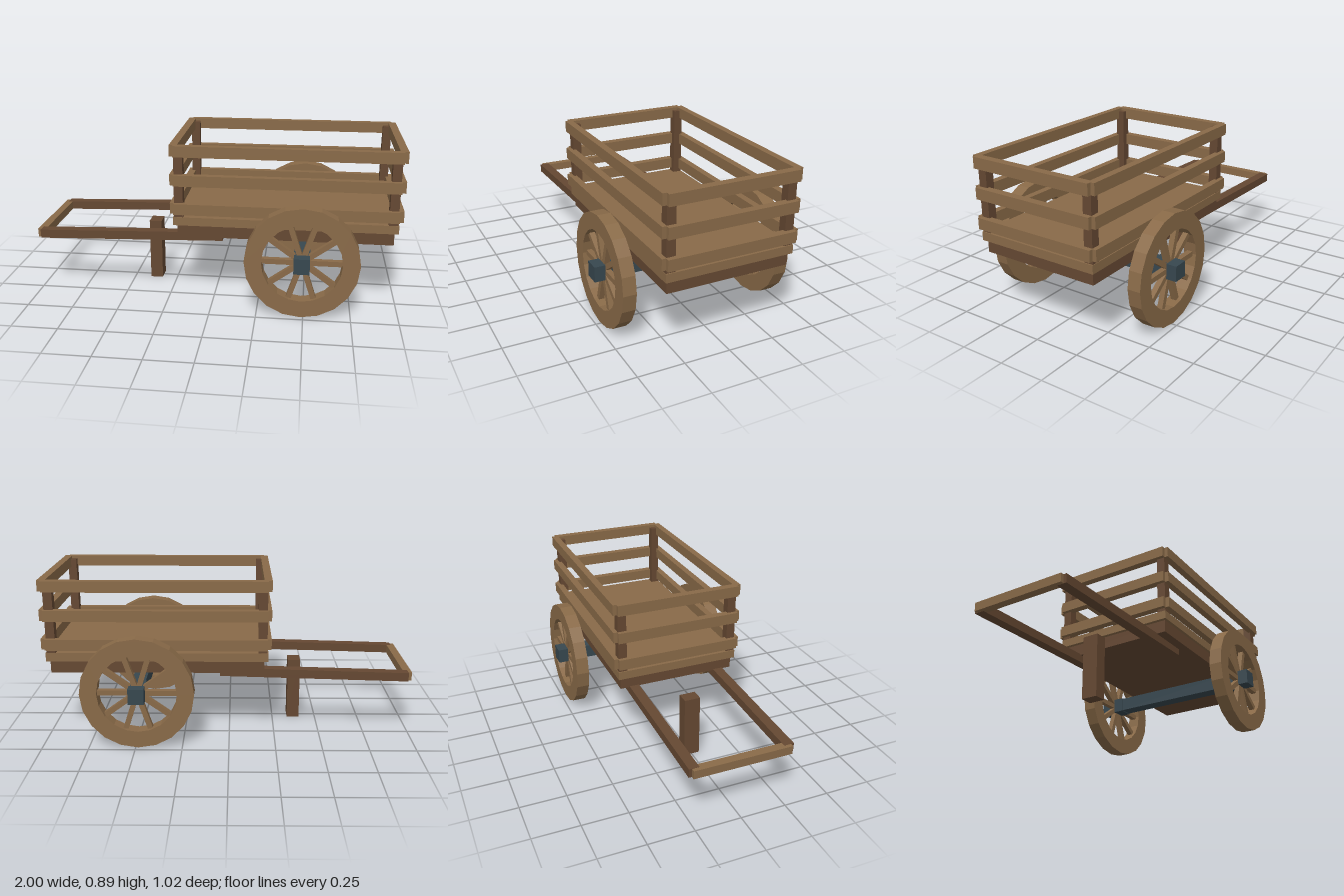
import * as THREE from 'three';

export function createModel() {
  const mat = (name, color) => {
    const m = new THREE.MeshStandardMaterial({ color });
    m.name = name;
    return m;
  };
  const lightWood = mat('lightWood', 0x896a48);
  const darkWood = mat('darkWood', 0x654832);
  const iron = mat('iron', 0x37474f);

  const cart = new THREE.Group();
  cart.name = 'handCart';

  // Box given by its extents on each axis
  const box = (parent, name, material, [x0, x1], [y0, y1], [z0, z1]) => {
    const mesh = new THREE.Mesh(new THREE.BoxGeometry(x1 - x0, y1 - y0, z1 - z0), material);
    mesh.position.set((x0 + x1) / 2, (y0 + y1) / 2, (z0 + z1) / 2);
    mesh.name = name;
    parent.add(mesh);
    return mesh;
  };
  const span = (centre, size) => [centre - size / 2, centre + size / 2];

  // Bed
  box(cart, 'chassis', darkWood, [-0.19, 0.96], [0.377, 0.447], [-0.333, 0.333]);
  box(cart, 'deck', lightWood, [-0.21, 0.98], [0.445, 0.491], [-0.348, 0.348]);

  // Corner posts
  for (const x of [-0.18, 0.95])
    for (const z of [-0.321, 0.321])
      box(cart, 'cornerPost', darkWood, span(x, 0.048), [0.485, 0.872], span(z, 0.048));

  // Three tiers of rails around the bed
  for (const y of [0.541, 0.699, 0.857]) {
    for (const z of [-0.35, 0.35])
      box(cart, 'sideRail', lightWood, [-0.205, 0.978], span(y, 0.06), span(z, 0.038));
    for (const x of [-0.205, 0.979])
      box(cart, 'endRail', lightWood, span(x, 0.042), span(y, 0.06), [-0.348, 0.348]);
  }

  // Sloping pull handle
  const handle = new THREE.Group();
  handle.name = 'pullHandle';
  handle.position.set(-0.465, 0.35, 0);
  handle.rotation.z = 0.028;
  for (const z of [-0.254, 0.254])
    box(handle, 'shaft', darkWood, span(0, 1.03), span(0, 0.048), span(z, 0.055));
  box(handle, 'crossbar', lightWood, [-0.535, -0.49], span(0, 0.046), [-0.265, 0.265]);
  cart.add(handle);

  // Prop leg
  box(cart, 'propLeg', darkWood, [-0.406, -0.336], [0, 0.353], [-0.045, 0.045]);

  // Axle
  const axleX = 0.485, axleY = 0.304;
  box(cart, 'axle', iron, span(axleX, 0.076), span(axleY, 0.077), [-0.4, 0.4]);

  // Wheels: 20-sided rim, ten spokes and a square hub
  const ring = (radius, Type) => {
    const points = [];
    for (let i = 0; i < 20; i++) {
      const a = (i / 20) * Math.PI * 2;
      points.push(new THREE.Vector2(Math.cos(a) * radius, Math.sin(a) * radius));
    }
    return new Type(points);
  };
  const rimShape = ring(0.303, THREE.Shape);
  rimShape.holes.push(ring(0.212, THREE.Path));
  const rimGeometry = new THREE.ExtrudeGeometry(rimShape, { depth: 0.072, bevelEnabled: false });
  rimGeometry.translate(0, 0, -0.036);
  const spokeGeometry = new THREE.BoxGeometry(0.2, 0.028, 0.03);
  spokeGeometry.translate(0.12, 0, 0);

  for (const side of [-1, 1]) {
    const wheel = new THREE.Group();
    wheel.name = side > 0 ? 'frontWheel' : 'backWheel';
    wheel.position.set(axleX, axleY, side * 0.437);
    const rim = new THREE.Mesh(rimGeometry, lightWood);
    rim.name = 'rim';
    wheel.add(rim);
    for (let i = 0; i < 10; i++) {
      const spoke = new THREE.Mesh(spokeGeometry, lightWood);
      spoke.name = 'spoke';
      spoke.rotation.z = (i / 10) * Math.PI * 2;
      wheel.add(spoke);
    }
    box(wheel, 'hub', iron, span(0, 0.084), span(0, 0.084), span(0, 0.146));
    cart.add(wheel);
  }

  return cart;
}
